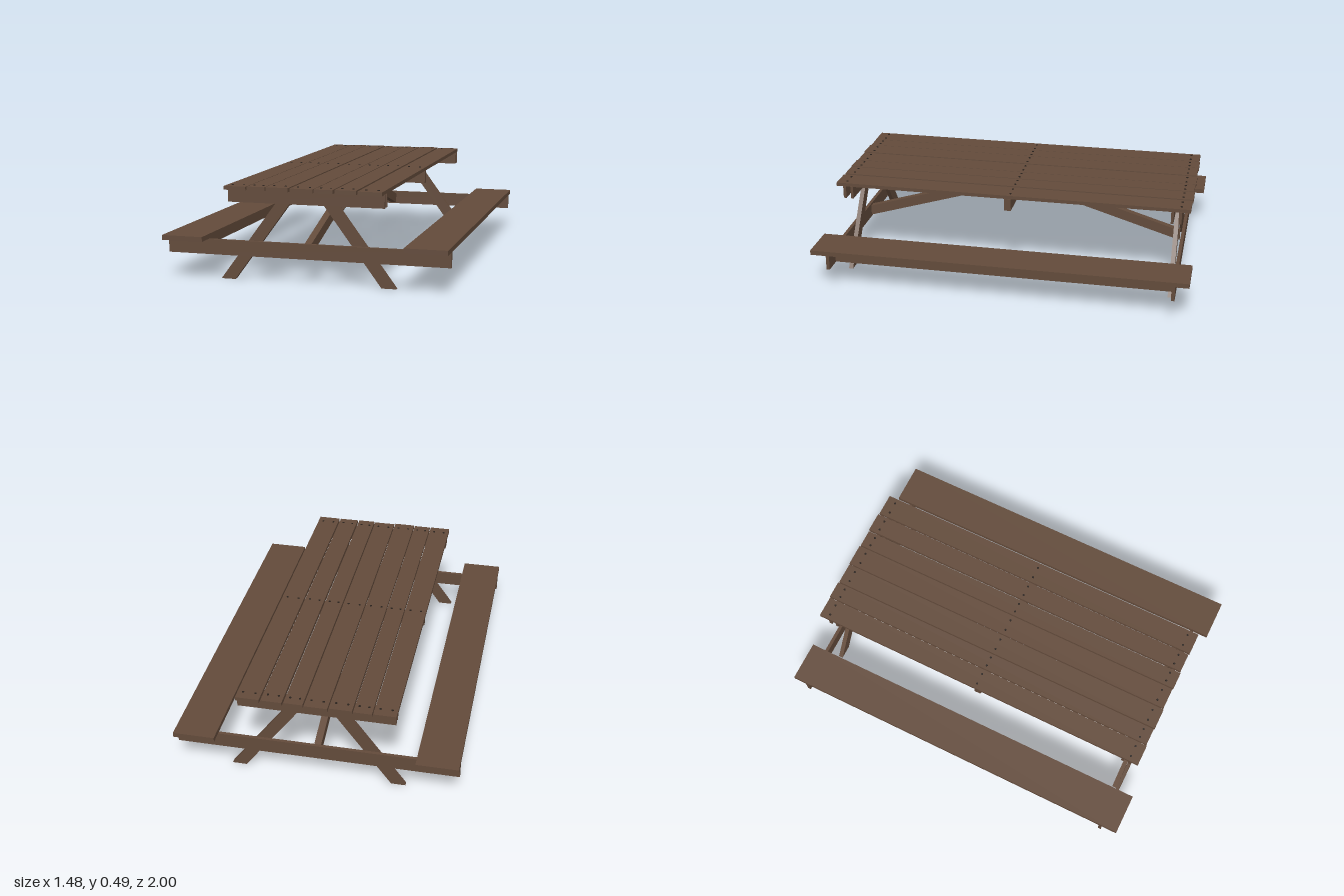
import * as THREE from 'three';

const wood = new THREE.MeshStandardMaterial({ color: 0x634b3b });
wood.name = 'brown wood';
const iron = new THREE.MeshStandardMaterial({ color: 0x2a221d });
iron.name = 'dark screw';

export function createModel() {
  const group = new THREE.Group();
  group.name = 'picnicTable';

  const add = (name, geometry, material = wood) => {
    const mesh = new THREE.Mesh(geometry, material);
    mesh.name = name;
    group.add(mesh);
    return mesh;
  };

  // Box given by its limits on each axis
  const board = (name, [x0, x1], [y0, y1], [z0, z1]) =>
    add(name, new THREE.BoxGeometry(x1 - x0, y1 - y0, z1 - z0))
      .position.set((x0 + x1) / 2, (y0 + y1) / 2, (z0 + z1) / 2);

  // Flat outline extruded to a thickness centred on its plane
  const slab = (points, depth) =>
    new THREE.ExtrudeGeometry(
      new THREE.Shape(points.map(([x, y]) => new THREE.Vector2(x, y))),
      { depth, bevelEnabled: false }
    ).translate(0, 0, -depth / 2);

  // Table top planks, slightly uneven, with pairs of screws
  const planks = [
    [-0.415, -0.3], [-0.294, -0.2], [-0.194, -0.077], [-0.07, 0.05],
    [0.056, 0.153], [0.162, 0.27], [0.279, 0.402],
  ];
  const screw = new THREE.CylinderGeometry(0.006, 0.006, 0.004, 8);
  planks.forEach(([x0, x1], i) => {
    const lift = (i % 3) * 0.001;
    const shift = (i % 2) * 0.004;
    board('topPlank', [x0, x1], [0.469, 0.488 + lift], [-0.97 - shift, 0.955 - shift]);
    for (const z of [-0.92, -0.01, 0.902]) {
      for (const t of [0.24, 0.76]) {
        add('screw', screw, iron).position.set(x0 + (x1 - x0) * t, 0.489 + lift, z);
      }
    }
  });

  // Cleats under the top
  const cleats = [[0.909, 0.016], [0.868, 0.014], [0, 0.036], [-0.876, 0.014], [-0.917, 0.016]];
  for (const [z, t] of cleats) {
    board('topCleat', [-0.408, 0.406], [0.403, 0.47], [z - t / 2, z + t / 2]);
  }

  // Benches, each with a stiffening beam underneath
  for (const s of [-1, 1]) {
    const span = (a, b) => (s > 0 ? [a, b] : [-b, -a]);
    board('benchSeat', span(0.52, 0.738), [0.205, 0.23], [-1, 1]);
    board('benchBeam', span(0.607, 0.643), [0.13, 0.206], [-0.91, 0.9]);
  }

  // Both end frames: cross beam and splayed legs
  for (const [beamZ, legZ] of [[0.906, 0.882], [-0.92, -0.889]]) {
    board('crossBeam', [-0.738, 0.738], [0.127, 0.205], [beamZ - 0.009, beamZ + 0.009]);
    for (const s of [-1, 1]) {
      const outline = [[0.385, 0], [0.46, 0], [0.113, 0.47], [0.038, 0.47]];
      add('leg', slab(outline.map(([x, y]) => [s * x, y]), 0.024)).position.z = legZ;
    }
  }

  // Diagonal braces from the middle cleat down to the cross beams
  for (const s of [-1, 1]) {
    const outline = [[0, 0.408], [0.9, 0.135], [0.9, 0.192], [0, 0.465]];
    add('diagonalBrace', slab(outline, 0.036)).rotation.y = -s * Math.PI / 2;
  }

  return group;
}
